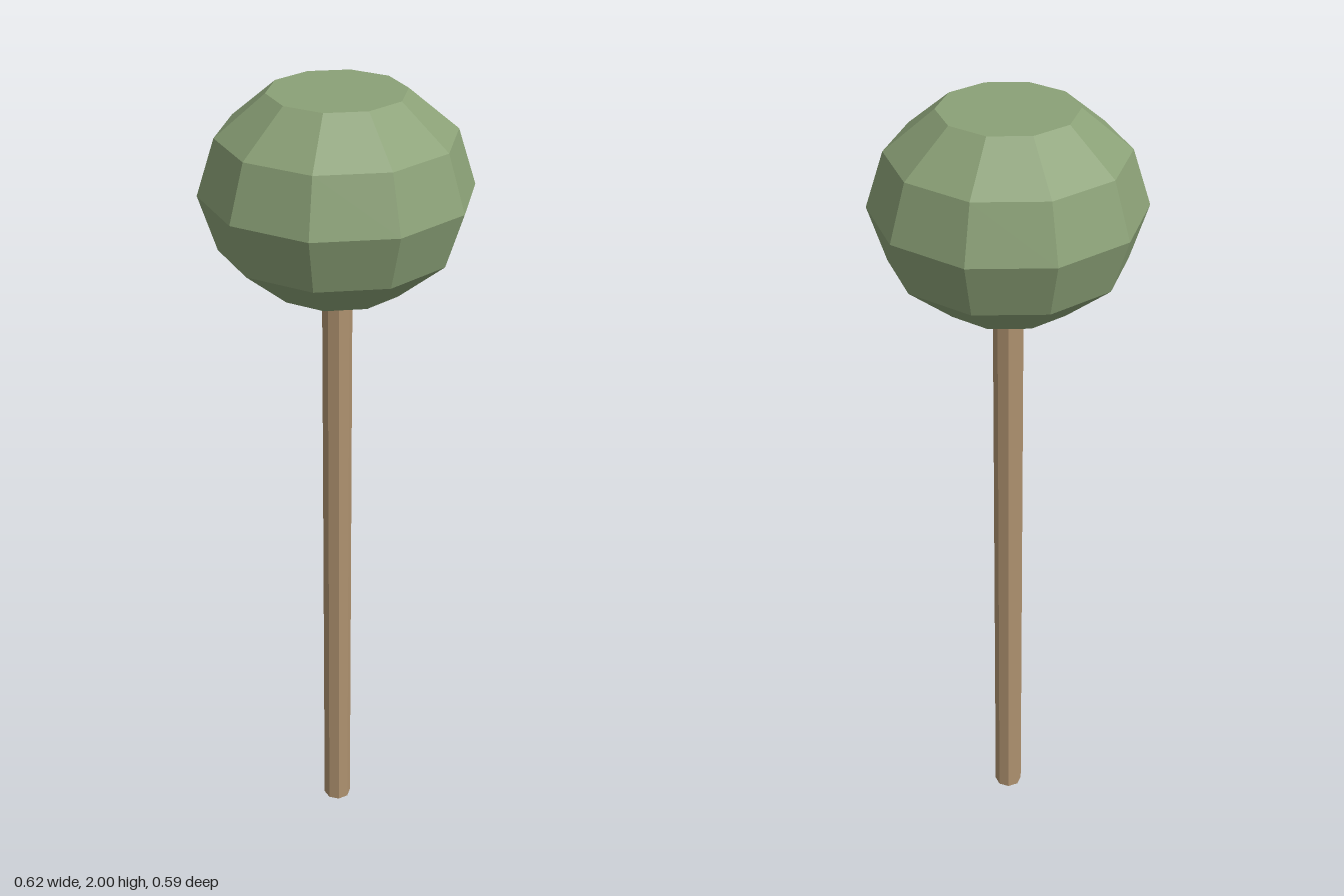
import * as THREE from 'three';

const SIDES = 10;
const RADIUS = 0.31;        // crown half width
const HALF_HEIGHT = 0.258;  // crown half height
const CENTRE_Y = 2 - HALF_HEIGHT;

export function createModel() {
  const group = new THREE.Group();
  const leaf = new THREE.MeshStandardMaterial({ color: 0x8ba177, flatShading: true });
  const leafCap = new THREE.MeshStandardMaterial({ color: 0x8ba177 });
  const wood = new THREE.MeshStandardMaterial({ color: 0xb09370, flatShading: true });

  const add = (name, geometry, material, y) => {
    const mesh = new THREE.Mesh(geometry, material);
    mesh.name = name;
    mesh.position.y = y;
    group.add(mesh);
    return mesh;
  };

  // Slim trunk, reaching a little way into the crown
  add('trunk', new THREE.CylinderGeometry(0.035, 0.035, 1.55, 8), wood, 0.775);

  // Faceted crown: four bands of a slightly squashed sphere
  const bands = new THREE.SphereGeometry(RADIUS, SIDES, 4, 0, Math.PI * 2, Math.PI / 6, Math.PI * 2 / 3);
  bands.scale(1, HALF_HEIGHT / RADIUS, 1);
  add('crown', bands, leaf, CENTRE_Y);

  // Shallow caps close the crown, each shaded as a single facet
  const ringY = HALF_HEIGHT * Math.cos(Math.PI / 6);
  const capHeight = HALF_HEIGHT - ringY;
  for (const [name, dir] of [['crownTop', 1], ['crownBottom', -1]]) {
    const cap = new THREE.ConeGeometry(RADIUS / 2, capHeight, SIDES, 1, true);
    cap.rotateY(Math.PI / 2);
    if (dir < 0) cap.rotateX(Math.PI);
    const normal = cap.attributes.normal;
    for (let i = 0; i < normal.count; i++) normal.setXYZ(i, 0, dir, 0);
    add(name, cap, leafCap, CENTRE_Y + dir * (ringY + capHeight / 2));
  }
  return group;
}
